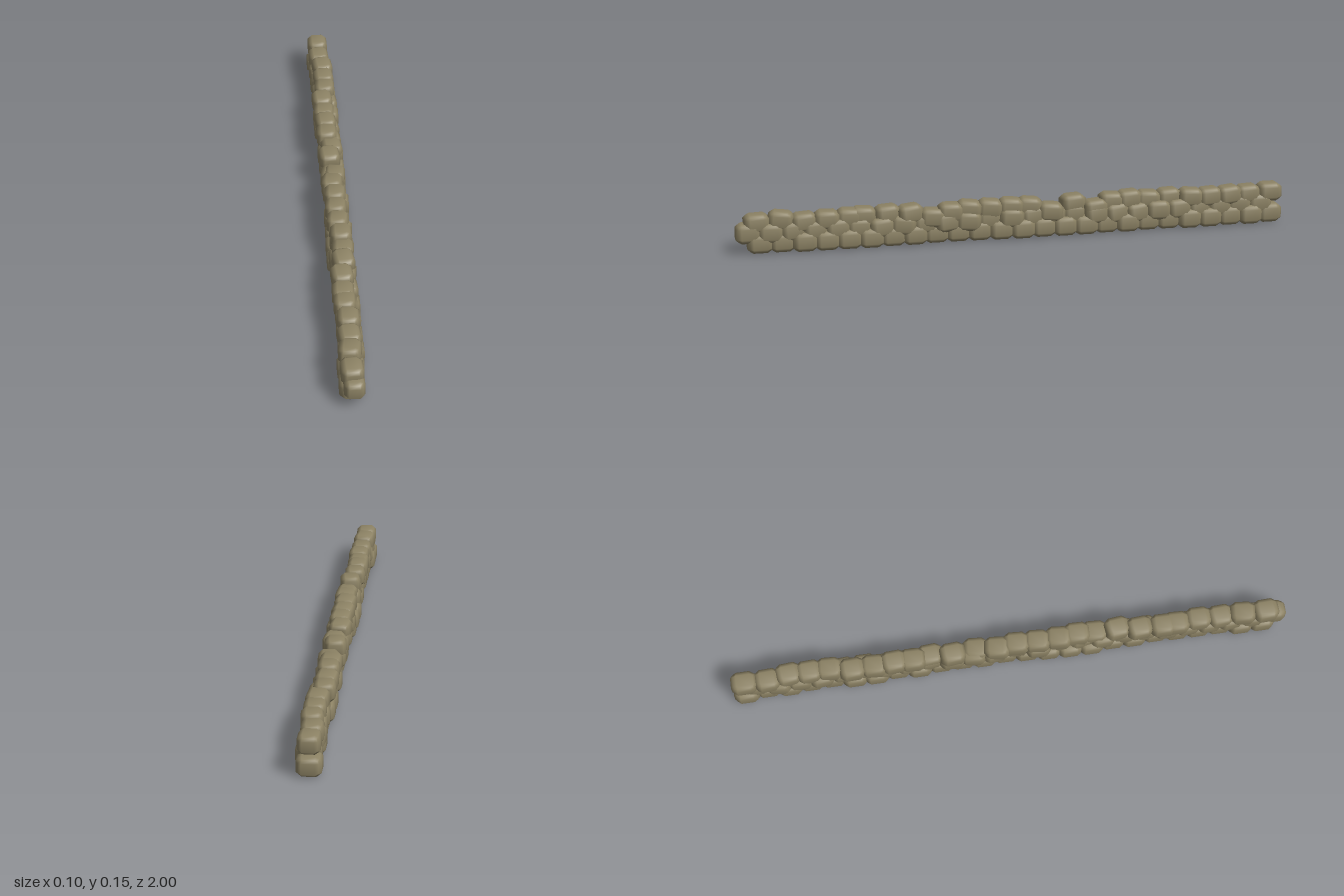
import * as THREE from 'three';
import { mergeVertices } from 'three/addons/utils/BufferGeometryUtils.js';

const stoneMaterial = new THREE.MeshStandardMaterial({ color: 0x8c8264 });
stoneMaterial.name = 'weathered stone';

// Unit boulder: a 3x3x3 box with its edges and corners drawn in, smooth shaded
function boulderGeometry() {
  const box = new THREE.BoxGeometry(1, 1, 1, 3, 3, 3);
  box.deleteAttribute('normal');
  box.deleteAttribute('uv');
  const geo = mergeVertices(box, 1e-4);
  const pos = geo.attributes.position;
  for (let i = 0; i < pos.count; i++) {
    const v = [pos.getX(i), pos.getY(i), pos.getZ(i)];
    const outer = v.filter((c) => Math.abs(c) > 0.4).length;
    const edge = [0, 0.5, 0.4, 0.34][outer];
    const inner = outer === 2 ? 0.24 : 0.27;
    pos.setXYZ(i, ...v.map((c) => Math.sign(c) * (Math.abs(c) > 0.4 ? edge : inner)));
  }
  geo.computeVertexNormals();
  return geo;
}

// Small seeded generator, returns -1..1
function seeded(seed) {
  let s = seed;
  return () => {
    s = (s * 16807) % 2147483647;
    return (s / 2147483647) * 2 - 1;
  };
}

export function createModel() {
  const wall = new THREE.Group();
  wall.name = 'dryStoneWall';
  const geo = boulderGeometry();
  const rnd = seeded(4711);

  function addStone(course, x, y, z, w, h, l, tilt = 0) {
    const stone = new THREE.Mesh(geo, stoneMaterial);
    stone.name = 'stone';
    stone.position.set(x, y, z);
    stone.scale.set(w, h, l);
    stone.rotation.set(tilt, tilt * 1.5, 0);
    course.add(stone);
  }
  function addCourse(name) {
    const course = new THREE.Group();
    course.name = name;
    wall.add(course);
    return course;
  }

  // Bottom course, level on the ground
  const bottom = addCourse('bottomCourse');
  for (let i = 0; i < 25; i++) {
    const end = i === 0 || i === 24;
    const x = end ? -0.008 : rnd() * 0.009;
    addStone(bottom, x, 0.035, 0.915 - i * 0.0779, 0.083, 0.07, 0.09);
  }

  // Middle course, offset by half a stone
  const middle = addCourse('middleCourse');
  for (let i = 0; i < 25; i++) {
    const end = i === 0 || i === 24;
    const x = end ? -0.003 : rnd() * 0.008;
    const y = 0.072 + (end ? 0 : rnd() * 0.005);
    addStone(middle, x, y, 0.955 - i * 0.0779, end ? 0.068 : 0.078, 0.07, 0.09, end ? 0 : rnd() * 0.1);
  }

  // Top course, uneven: z, sideways shift and height of each stone
  const top = addCourse('topCourse');
  const topZ = [0.925, 0.84, 0.76, 0.68, 0.6, 0.55, 0.465, 0.385, 0.305, 0.24, 0.172, 0.095, 0.02,
    -0.05, -0.125, -0.21, -0.29, -0.353, -0.42, -0.492, -0.57, -0.65, -0.722, -0.796, -0.872, -0.955];
  const topX = [-8, -8, -4, -2, -8, -10, -8, 2, 6, 4, -3, -4, -2,
    -8, 6, -8, 6, -8, -8, -10, -12, 2, 2, 2, -8, -8];
  const topY = [105, 111, 101, 105, 106, 108, 110, 110, 92, 107, 111, 110, 111,
    108, 88, 111, 90, 109, 114, 108, 111, 110, 109, 111, 108, 112];
  topZ.forEach((z, i) => {
    const end = i === 25;
    addStone(top, topX[i] / 1000, topY[i] / 1000, z, 0.074, 0.067, 0.09, end ? 0 : rnd() * 0.1);
  });

  return wall;
}
